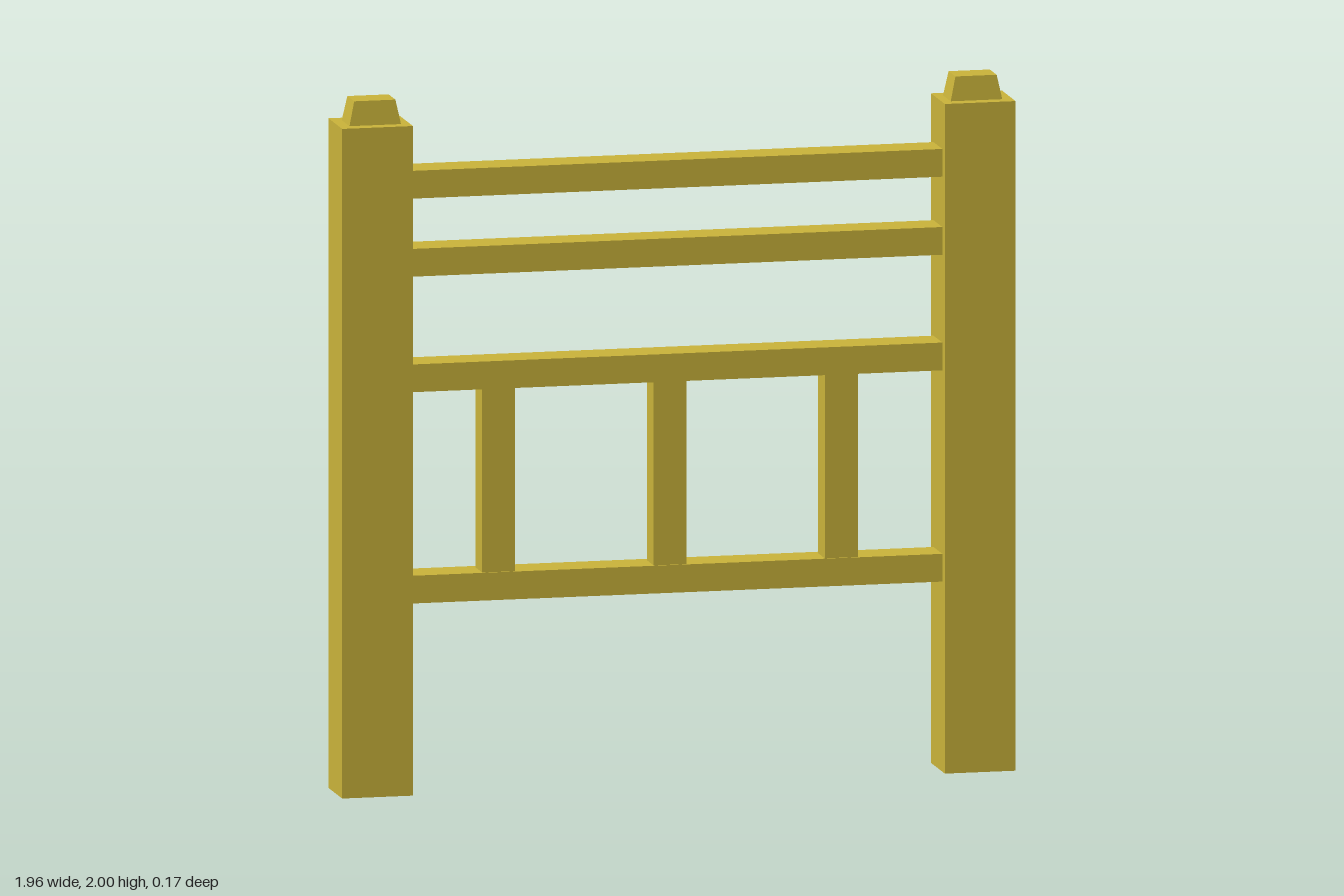
import * as THREE from 'three';

export function createModel() {
  const model = new THREE.Group();
  const wood = new THREE.MeshStandardMaterial({ color: 0xc9b33a });
  wood.name = 'ochre wood';

  const add = (name, geometry, x, y, z) => {
    const mesh = new THREE.Mesh(geometry, wood);
    mesh.name = name;
    mesh.position.set(x, y, z);
    model.add(mesh);
  };

  // Box whose top face is narrowed to the given scale
  const taperedBox = (w, h, d, topX, topZ) => {
    const g = new THREE.BoxGeometry(w, h, d);
    const p = g.attributes.position;
    for (let i = 0; i < p.count; i++) {
      if (p.getY(i) > 0) p.setXYZ(i, p.getX(i) * topX, p.getY(i), p.getZ(i) * topZ);
    }
    g.computeVertexNormals();
    return g;
  };

  // Posts with tapered caps
  for (const [side, s] of [['left', 1], ['right', -1]]) {
    add(side + 'Post', new THREE.BoxGeometry(0.206, 1.93, 0.174), s * 0.877, 0.965, 0);
    add(side + 'PostCap', taperedBox(0.15, 0.07, 0.098, 0.8, 0.88), s * 0.875, 1.965, 0);
  }

  // Horizontal rails between the posts
  [0.588, 1.197, 1.53, 1.755].forEach((y, i) =>
    add('rail' + (i + 1), new THREE.BoxGeometry(1.55, 0.08, 0.112), 0, y, 0));

  // Upright slats between the two lower rails
  [-0.516, -0.017, 0.481].forEach((x, i) =>
    add('slat' + (i + 1), new THREE.BoxGeometry(0.096, 0.53, 0.087), x, 0.892, 0.007));

  return model;
}
